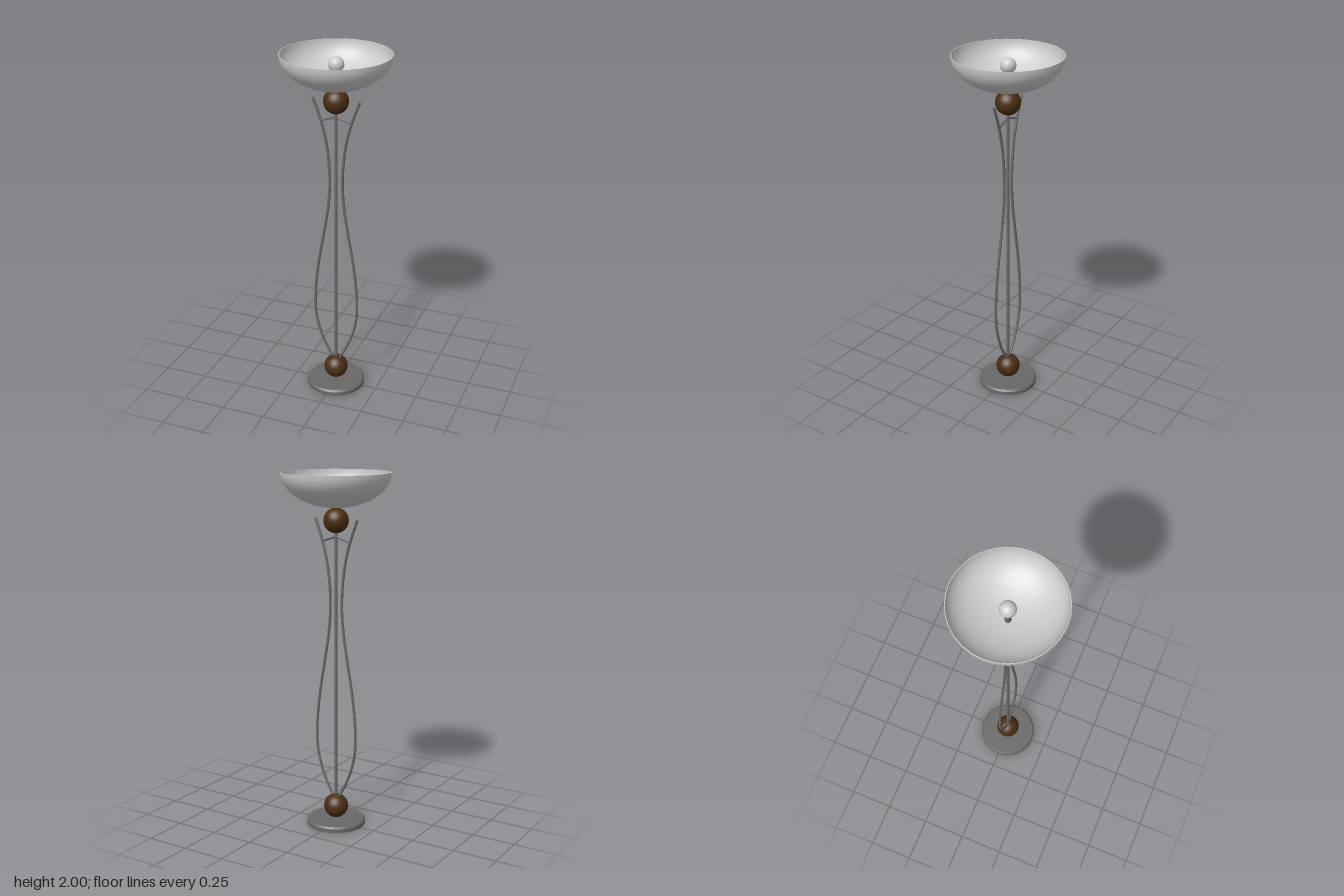
import * as THREE from 'three';

const metal = new THREE.MeshStandardMaterial({ color: 0x686868 });
const wood = new THREE.MeshStandardMaterial({ color: 0x4a2e0e });
const glass = new THREE.MeshStandardMaterial({ color: 0xcccccc, side: THREE.DoubleSide });

const v2 = (p) => new THREE.Vector2(p[0], p[1]);

export function createModel() {
  const model = new THREE.Group();
  const add = (name, geometry, material, y = 0) => {
    const mesh = new THREE.Mesh(geometry, material);
    mesh.name = name;
    mesh.position.y = y;
    model.add(mesh);
    return mesh;
  };

  // Round foot with a small chamfer; profile pieces kept separate for crisp edges
  const foot = [[0, 0], [0.167, 0], [0.167, 0.022], [0.158, 0.032], [0, 0.032]];
  for (let i = 0; i < foot.length - 1; i++) {
    add('base', new THREE.LatheGeometry([v2(foot[i]), v2(foot[i + 1])], 32), metal);
  }

  // Wooden balls at both ends of the pole
  add('lowerBall', new THREE.SphereGeometry(0.069, 32, 20), wood, 0.103);
  add('upperBall', new THREE.SphereGeometry(0.069, 32, 20), wood, 1.743);

  // Centre pole, running through the balls
  add('pole', new THREE.CylinderGeometry(0.008, 0.008, 1.75, 12), metal, 0.9);

  // Curved side rods and the struts tying them to the pole
  const rod = [[0.012, 0.15], [0.05, 0.215], [0.092, 0.31], [0.121, 0.42], [0.128, 0.52],
    [0.121, 0.65], [0.102, 0.8], [0.072, 0.97], [0.048, 1.12], [0.037, 1.26],
    [0.043, 1.4], [0.062, 1.53], [0.092, 1.64], [0.133, 1.75]];
  for (const [side, s] of [['left', 1], ['right', -1]]) {
    const curve = new THREE.CatmullRomCurve3(rod.map(([x, y]) => new THREE.Vector3(s * x, y, 0)));
    add(side + 'Rod', new THREE.TubeGeometry(curve, 60, 0.0075, 10), metal);
    for (const t of [0, 1]) {
      const cap = add(side + 'RodCap', new THREE.CircleGeometry(0.0075, 10), metal);
      cap.position.copy(curve.getPoint(t));
      const out = curve.getTangent(t).multiplyScalar(t ? 1 : -1);
      cap.quaternion.setFromUnitVectors(new THREE.Vector3(0, 0, 1), out);
    }
    const strut = new THREE.LineCurve3(new THREE.Vector3(0, 1.655, 0), new THREE.Vector3(s * 0.09, 1.627, 0));
    add(side + 'Strut', new THREE.TubeGeometry(strut, 1, 0.006, 8), metal);
  }

  // Thin half-ellipsoid bowl: outer skin, rim and inner skin
  const skin = (r, depth, a0, a1) => Array.from({ length: 17 }, (_, i) => {
    const a = a0 + (a1 - a0) * i / 16;
    return new THREE.Vector2(r * Math.sin(a), 2 - depth * Math.cos(a));
  });
  const q = Math.PI / 2;
  add('bowl', new THREE.LatheGeometry(skin(0.299, 0.188, 0, q), 32), glass);
  add('bowlRim', new THREE.LatheGeometry([new THREE.Vector2(0.299, 2), new THREE.Vector2(0.295, 2)], 32), glass);
  add('bowlInside', new THREE.LatheGeometry(skin(0.295, 0.184, q, 0), 32), glass);

  // Lamp socket and pear-shaped bulb
  add('socket', new THREE.CylinderGeometry(0.017, 0.017, 0.065, 16), metal, 1.845);
  const bulb = [[0.015, 1.876], [0.017, 1.89], [0.024, 1.904], [0.033, 1.916]];
  for (let i = 0; i <= 12; i++) {
    const a = -0.6 + (q + 0.6) * i / 12;
    bulb.push([Math.max(0, 0.043 * Math.cos(a)), 1.943 + 0.043 * Math.sin(a)]);
  }
  add('bulb', new THREE.LatheGeometry(bulb.map(v2), 24), glass);

  return model;
}
